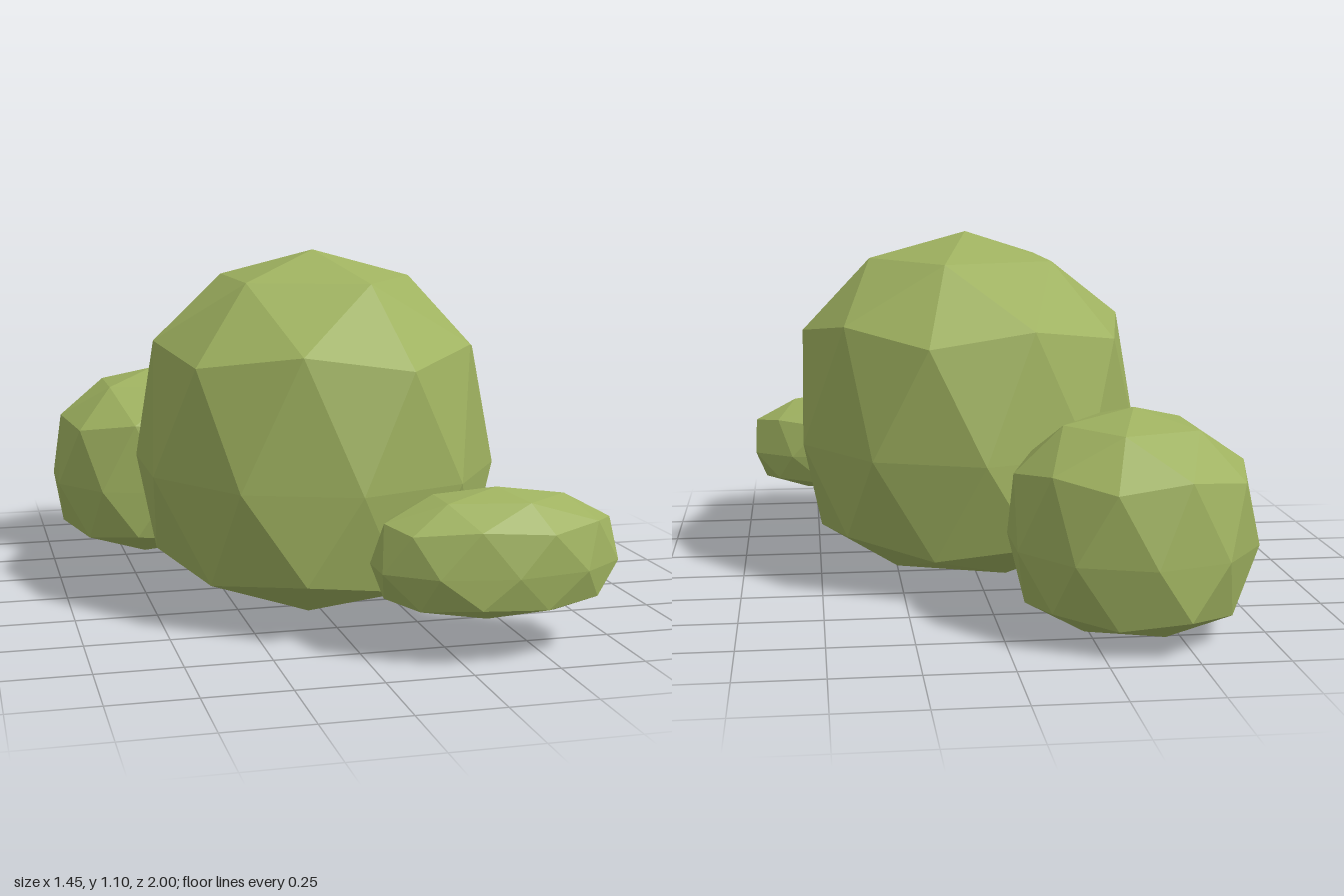
import * as THREE from 'three';

// Rows of a faceted boulder: [height on unit sphere, settled height, x swell, z swell]
const ROWS = [
  [1, 1, 1, 1],
  [0.8507, 0.923, 1.055, 1.07],
  [0.5257, 0.754, 1.05, 1.065],
  [0.4472, 0.713, 1.055, 1.06],
  [0, 0.402, 1, 1],
  [-0.4472, 0.163, 0.995, 1.09],
  [-0.5257, 0.123, 1, 1.05],
  [-0.8507, 0.038, 1.01, 1.075],
  [-1, 0, 1, 1],
];

// Subdivided icosahedron standing on a corner, with a flattened underside
function boulderGeometry() {
  const geometry = new THREE.IcosahedronGeometry(1, 1);
  geometry.rotateZ(-Math.atan(2 / (1 + Math.sqrt(5))));
  const p = geometry.attributes.position;
  for (let i = 0; i < p.count; i++) {
    const y = p.getY(i);
    const row = ROWS.reduce((a, b) => (Math.abs(b[0] - y) < Math.abs(a[0] - y) ? b : a));
    p.setXYZ(i, p.getX(i) * row[2], row[1], p.getZ(i) * row[3]);
  }
  return geometry;
}

export function createModel() {
  const group = new THREE.Group();
  const material = new THREE.MeshStandardMaterial({ color: 0x9fb260, flatShading: true });

  // Each clump: name, base position, half width, height, half depth
  const clumps = [
    ['mainBush', [0.018, 0.005, 0.12], [0.56, 1.097, 0.605]],
    ['backBush', [-0.38, 0.005, -0.643], [0.363, 0.642, 0.355]],
    ['frontBush', [0.377, 0.117, 0.8], [0.365, 0.36, 0.198]],
  ];
  for (const [name, position, size] of clumps) {
    const geometry = boulderGeometry().scale(...size);
    geometry.computeVertexNormals();
    const mesh = new THREE.Mesh(geometry, material);
    mesh.name = name;
    mesh.position.set(...position);
    group.add(mesh);
  }
  return group;
}
